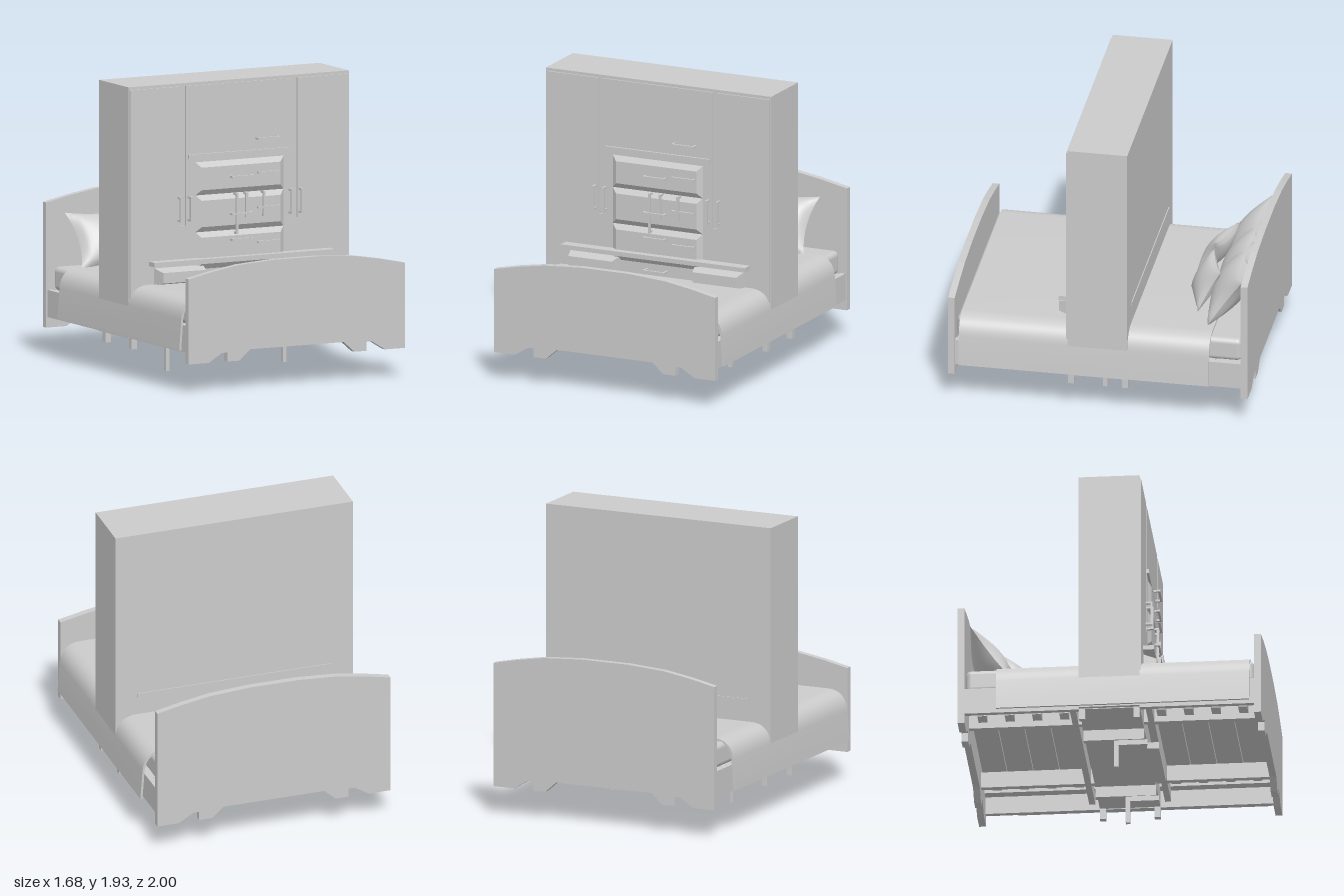
import * as THREE from 'three';
import { RoundedBoxGeometry } from 'three/addons/geometries/RoundedBoxGeometry.js';
import { toCreasedNormals } from 'three/addons/utils/BufferGeometryUtils.js';

const grey = new THREE.MeshStandardMaterial({ color: 0xcccccc, side: THREE.DoubleSide });

export function createModel() {
  const model = new THREE.Group();

  const add = (name, geometry, parent = model) => {
    const mesh = new THREE.Mesh(geometry, grey);
    mesh.name = name;
    parent.add(mesh);
    return mesh;
  };
  // Box given by its two opposite corners
  const box = (name, x0, x1, y0, y1, z0, z1, parent) => {
    const mesh = add(name, new THREE.BoxGeometry(x1 - x0, y1 - y0, z1 - z0), parent);
    mesh.position.set((x0 + x1) / 2, (y0 + y1) / 2, (z0 + z1) / 2);
    return mesh;
  };
  // Box whose +z face is inset by a bevel
  const beveled = (name, x0, x1, y0, y1, z0, z1, inset) => {
    const w = x1 - x0, h = y1 - y0;
    const g = new THREE.BoxGeometry(w, h, z1 - z0);
    const p = g.attributes.position;
    for (let i = 0; i < p.count; i++) {
      if (p.getZ(i) > 0) p.setXY(i, p.getX(i) * (1 - 2 * inset / w), p.getY(i) * (1 - 2 * inset / h));
    }
    g.computeVertexNormals();
    add(name, g).position.set((x0 + x1) / 2, (y0 + y1) / 2, (z0 + z1) / 2);
  };

  // Head and foot boards: arched top, cut-out bottom, extruded along z
  const board = (name, z, side, top) => {
    const bottom = [[0.35, 0.26], [0.43, 0.19], [0.52, 0.19], [0.52, 0.25], [0.56, 0.25], [0.66, 0.19], [0.81, 0.19]];
    const arch = [[0.81, side], [0.63, side + (top - side) * 0.42], [0.44, side + (top - side) * 0.77], [0.17, top - 0.003]];
    const half = [...bottom, ...arch];
    const mirrored = half.map(([x, y]) => [-x, y]).reverse();
    const shape = new THREE.Shape([...half, ...mirrored].map(([x, y]) => new THREE.Vector2(x, y)));
    const g = new THREE.ExtrudeGeometry(shape, { depth: 0.045, bevelEnabled: false });
    add(name, g).position.z = z;
  };
  board('headboard', -1, 1.02, 1.11);
  board('footboard', 0.955, 0.755, 0.845);

  // Bed frame
  for (const s of [-1, 1]) {
    const x = (a, b) => (s > 0 ? [a, b] : [-b, -a]);
    box('sideRail', ...x(0.765, 0.8), 0.26, 0.44, -0.955, 0.955);
    box('railLedge', ...x(0.7, 0.765), 0.38, 0.41, -0.955, 0.955);
    box('lengthBeam', ...x(0.44, 0.48), 0.3, 0.41, -0.955, 0.955);
    for (let i = 0; i < 4; i++) {
      for (const e of [-1, 1]) {
        const z = e * (0.32 + i * 0.18);
        box('beamBlock', ...x(0.48, 0.58), 0.34, 0.41, z - 0.03, z + 0.03);
      }
    }
    box('crossBeam', -0.765, 0.765, 0.3, 0.41, s * 0.25 - 0.02, s * 0.25 + 0.02);
  }
  for (let i = 0; i < 11; i++) {
    const z = -0.865 + i * 0.173;
    box('slat', -0.765, 0.765, 0.41, 0.435, z - 0.08, z + 0.08);
  }

  // Mattress
  add('mattress', new RoundedBoxGeometry(1.52, 0.16, 1.9, 4, 0.035)).position.y = 0.515;

  // Blanket: a thin draped cross-section extruded along the bed
  const drape = new THREE.Shape();
  drape.moveTo(-0.84, 0.275);
  drape.lineTo(-0.825, 0.48);
  drape.quadraticCurveTo(-0.81, 0.612, -0.68, 0.612);
  drape.lineTo(0.68, 0.612);
  drape.quadraticCurveTo(0.81, 0.612, 0.825, 0.48);
  drape.lineTo(0.84, 0.275);
  drape.lineTo(0.825, 0.275);
  drape.lineTo(0.81, 0.48);
  drape.quadraticCurveTo(0.795, 0.597, 0.68, 0.597);
  drape.lineTo(-0.68, 0.597);
  drape.quadraticCurveTo(-0.795, 0.597, -0.81, 0.48);
  drape.lineTo(-0.825, 0.275);
  const drapeGeo = new THREE.ExtrudeGeometry(drape, { depth: 1.67, bevelEnabled: false, curveSegments: 12 });
  add('blanket', toCreasedNormals(drapeGeo, 0.6)).position.z = -0.745;

  // Pillows: two puffed sheets joined at a pinched seam
  const pillow = (name, w, h, t, x, y, z, yaw, lean) => {
    const group = new THREE.Group();
    group.name = name;
    const g = new THREE.PlaneGeometry(2, 2, 20, 20);
    const p = g.attributes.position;
    for (let i = 0; i < p.count; i++) {
      const u = p.getX(i), v = p.getY(i);
      const a = 1 - u * u, b = 1 - v * v;
      p.setXYZ(i, u * (1 - 0.12 * b) * w / 2, v * (1 - 0.14 * a) * h / 2, Math.pow(Math.max(a * b, 0), 0.55) * t / 2);
    }
    g.computeVertexNormals();
    add('pillowFront', g, group);
    add('pillowBack', g, group).rotation.y = Math.PI;
    group.position.set(x, y, z);
    group.rotation.set(-lean, yaw, 0, 'YXZ');
    model.add(group);
  };
  for (const x of [-0.36, 0, 0.3]) pillow('largePillow', 0.65, 0.42, 0.21, x, 0.775, -0.81, 0, 0.6);
  pillow('smallPillow', 0.36, 0.32, 0.13, -0.19, 0.75, -0.62, -0.3, 0.5);
  pillow('smallPillow', 0.36, 0.32, 0.13, 0.25, 0.75, -0.62, 0.3, 0.5);

  // Wardrobe body, doors and ledge
  box('wardrobeBody', -0.825, 0.825, 0.265, 1.93, -0.2, 0.2);
  for (const s of [-1, 1]) {
    const x = (a, b) => (s > 0 ? [a, b] : [-b, -a]);
    box('wardrobeDoor', ...x(0.435, 0.815), 0.5, 1.91, 0.2, 0.21);
    box('doorFiller', ...x(0.4, 0.435), 0.5, 0.985, 0.2, 0.21);
    box('skirt', ...x(0.42, 0.46), 0.19, 0.265, -0.2, 0.2);
    for (const z of [-0.18, 0.18]) box('foot', ...x(0.76, 0.8), 0.19, 0.265, z - 0.02, z + 0.02);
    // Bent support leg
    box('legArm', ...x(0.425, 0.45), 0.155, 0.19, 0, 0.22);
    box('leg', ...x(0.425, 0.45), 0, 0.155, 0, 0.03);
    beveled('ledgeDrawer', ...x(0.27, 0.64), 0.6, 0.72, 0.2, 0.295, 0.025);
  }
  box('centrePanel', -0.4, 0.4, 0.5, 1.91, 0.2, 0.21);
  box('shelfStrip', -0.385, 0.385, 1.425, 1.455, 0.2, 0.225);
  box('ledge', -0.675, 0.675, 0.735, 0.765, -0.206, 0.285);
  for (const [y0, y1] of [[1.18, 1.4], [0.935, 1.18], [0.69, 0.935]]) {
    beveled('drawerFront', -0.33, 0.33, y0, y1, 0.21, 0.235, 0.035);
  }
  box('baseBar', -0.26, 0.26, 0.21, 0.255, 0.2, 0.28);

  // Bar handles on two short posts
  const handle = (x0, x1, y0, y1, depth) => {
    const group = new THREE.Group();
    group.name = 'handle';
    model.add(group);
    box('handleBar', x0, x1, y0, y1, depth - 0.014, depth, group);
    const t = 0.014;
    const ends = x1 - x0 > y1 - y0
      ? [[x0, x0 + t, y0, y1], [x1 - t, x1, y0, y1]]
      : [[x0, x1, y0, y0 + t], [x0, x1, y1 - t, y1]];
    for (const e of ends) box('handlePost', ...e, 0.2, depth - 0.014, group);
  };
  for (const y of [1.53, 1.305, 1.075, 0.845]) handle(0.12, 0.285, y - 0.007, y + 0.007, 0.255);
  for (const y of [1.29, 1.045, 0.875, 0.65]) handle(-0.083, 0.077, y - 0.007, y + 0.007, 0.27);
  for (const x of [-0.455, -0.38, 0.035, 0.165, 0.375, 0.45]) handle(x - 0.008, x + 0.008, 1.015, 1.18, 0.255);
  handle(-0.048, -0.034, 0.91, 1.18, 0.26);

  return model;
}
